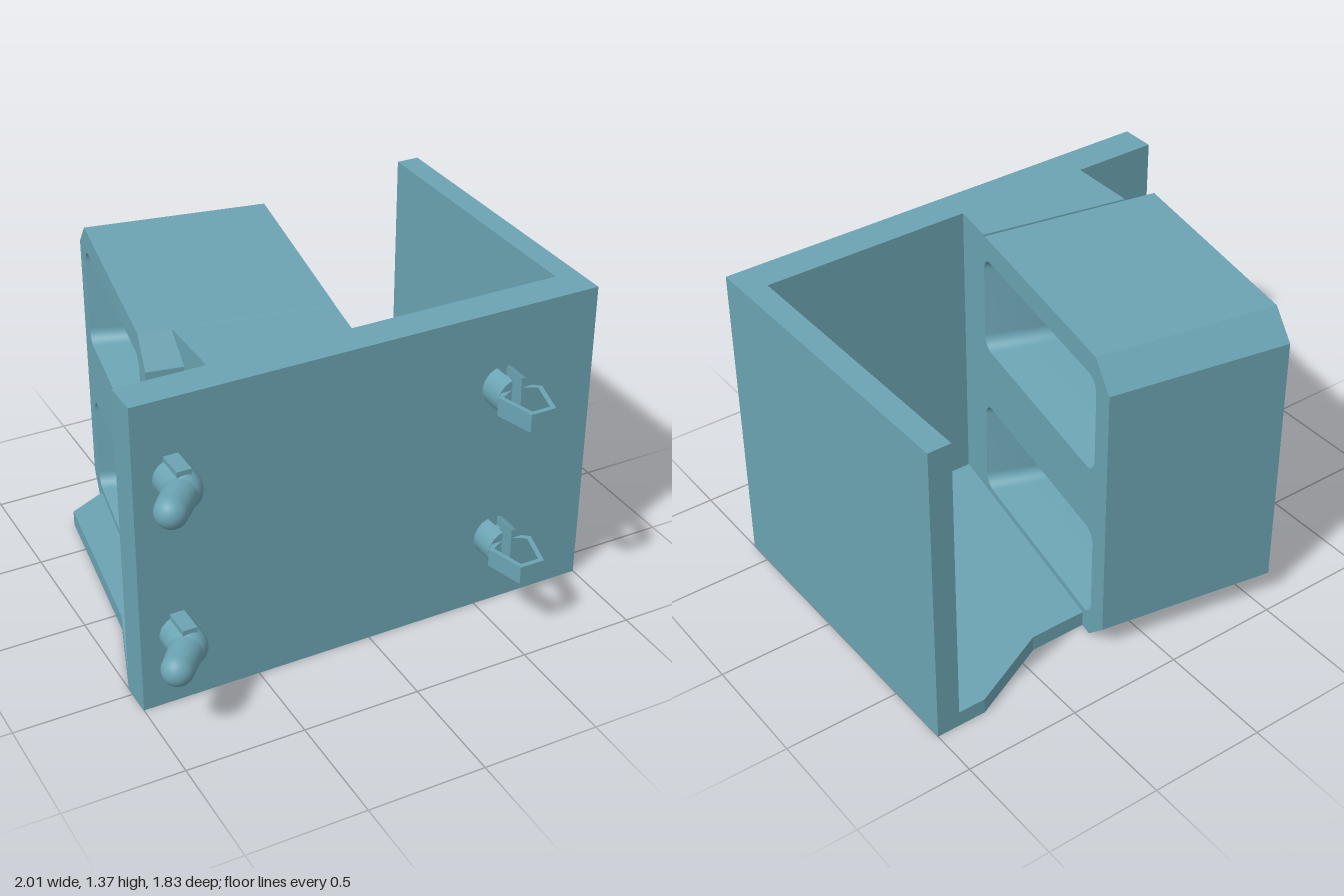
import * as THREE from 'three';

const mat = new THREE.MeshStandardMaterial({ color: 0x6ba3b2 });
const inner = new THREE.MeshStandardMaterial({ color: 0x6ba3b2, side: THREE.DoubleSide });
const H = 1.37;

function add(parent, name, geo, m = mat) {
  const mesh = new THREE.Mesh(geo, m);
  mesh.name = name;
  parent.add(mesh);
  return mesh;
}

// Shape from [x, z] plan points
function planShape(pts) {
  return new THREE.Shape(pts.map(([x, z]) => new THREE.Vector2(x, -z)));
}

// Extrude a plan outline upward from y0 to y1
function plan(pts, y0, y1, hole) {
  const s = planShape(pts);
  if (hole) s.holes.push(planShape(hole));
  return new THREE.ExtrudeGeometry(s, { depth: y1 - y0, bevelEnabled: false })
    .rotateX(-Math.PI / 2).translate(0, y0, 0);
}

// Points of a rounded rectangle in (depth, height)
function roundedRect(v0, v1, y0, y1, r) {
  const pts = [];
  const corners = [[v1 - r, y1 - r], [v0 + r, y1 - r], [v0 + r, y0 + r], [v1 - r, y0 + r]];
  corners.forEach(([cx, cy], k) => {
    for (let i = 0; i <= 8; i++) {
      const a = (k + i / 8) * Math.PI / 2;
      pts.push(new THREE.Vector2(cx + r * Math.cos(a), cy + r * Math.sin(a)));
    }
  });
  return pts;
}

// Through-opening lining that narrows smoothly at its waist
function tunnel(pts, width, cv, cy) {
  const pos = [], idx = [], rings = 24, n = pts.length;
  for (let j = 0; j <= rings; j++) {
    const s = Math.sin(Math.PI * j / rings);
    for (const p of pts) {
      pos.push(width * j / rings, cy + (p.y - cy) * (1 - 0.16 * s), cv + (p.x - cv) * (1 - 0.2 * s));
    }
  }
  for (let j = 0; j < rings; j++) {
    for (let i = 0; i < n; i++) {
      const a = j * n + i, b = j * n + (i + 1) % n;
      idx.push(a, a + n, b, b, a + n, b + n);
    }
  }
  const g = new THREE.BufferGeometry();
  g.setAttribute('position', new THREE.Float32BufferAttribute(pos, 3));
  g.setIndex(idx);
  g.computeVertexNormals();
  return g;
}

// Angled block with chamfered ends and two openings
function makeBlock() {
  const g = new THREE.Group();
  g.name = 'angledBlock';
  const W = 0.78, L = 1.17, c = 0.11;
  const outline = [[0, c], [c, 0], [L - c, 0], [L, c], [L, H - c], [L - c, H], [c, H], [0, H - c]];
  const shape = new THREE.Shape(outline.map(([v, y]) => new THREE.Vector2(-v, y)));
  for (const y0 of [0.1, 0.83]) {
    const pts = roundedRect(0.1, 1.07, y0, y0 + 0.44, 0.06);
    shape.holes.push(new THREE.Path(pts.map(p => new THREE.Vector2(-p.x, p.y))));
    add(g, 'openingLining', tunnel(pts, W, 0.585, y0 + 0.22), inner);
  }
  add(g, 'blockShell', new THREE.ExtrudeGeometry(shape, { depth: W, bevelEnabled: false })
    .rotateY(Math.PI / 2));
  g.position.set(-0.57, 0, -0.92);
  g.rotation.y = -THREE.MathUtils.degToRad(10);
  return g;
}

// Bent peg with a rounded tip and a small upright fin
function makeHook() {
  const g = new THREE.Group();
  g.name = 'hookPeg';
  const r = 0.065;
  const bend = new THREE.Vector3(0, 0, 0.1), tip = new THREE.Vector3(-0.095, 0, 0.21);
  add(g, 'hookBase', new THREE.CylinderGeometry(0.076, 0.076, 0.1, 32).rotateX(Math.PI / 2).translate(0, 0, 0.05));
  add(g, 'hookElbow', new THREE.SphereGeometry(0.076, 32, 20)).position.copy(bend);
  const arm = add(g, 'hookArm', new THREE.CylinderGeometry(r, 0.07, bend.distanceTo(tip), 32));
  arm.position.copy(bend).lerp(tip, 0.5);
  arm.quaternion.setFromUnitVectors(new THREE.Vector3(0, 1, 0), tip.clone().sub(bend).normalize());
  add(g, 'hookTip', new THREE.SphereGeometry(r, 32, 20)).position.copy(tip);
  add(g, 'hookFin', new THREE.BoxGeometry(0.06, 0.185, 0.12).translate(0, 0, 0.06));
  return g;
}

// Split round stem with a springy arrow-shaped loop
function makeClip() {
  const g = new THREE.Group();
  g.name = 'snapClip';
  const a = Math.acos(0.022 / 0.085);
  for (const side of [0, Math.PI]) {
    const half = new THREE.Shape();
    half.absarc(0, 0, 0.085, side - a, side + a, false);
    add(g, 'clipStem', new THREE.ExtrudeGeometry(half, { depth: 0.11, bevelEnabled: false, curveSegments: 20 }));
  }
  const mirror = pts => [...pts, ...pts.slice().reverse().map(([x, z]) => [-x, z])];
  const outer = mirror([[0.06, 0], [0.06, 0.1], [0.1, 0.135], [0.055, 0.3]]);
  const hole = mirror([[0.022, 0.03], [0.022, 0.11], [0.078, 0.14], [0.04, 0.28]]);
  add(g, 'clipLoop', plan(outer, -0.04, 0.04, hole));
  return g;
}

export function createModel() {
  const model = new THREE.Group();
  model.name = 'wallHolder';

  // Front plate, side wall and floor
  add(model, 'frontPlate', new THREE.BoxGeometry(2, H, 0.15)).position.set(0, H / 2, 0.535);
  add(model, 'sideWall', new THREE.BoxGeometry(0.1, H, 1.25)).position.set(0.95, H / 2, -0.165);
  add(model, 'floor', plan([[-1, 0.46], [-0.875, 0.1], [-0.765, -0.7], [-0.59, -0.785],
    [0.168, -0.62], [0.42, -0.62], [0.78, -0.79], [0.9, -0.79], [0.9, 0.46]], 0, 0.07));

  // Block and the web that joins it to the front plate
  model.add(makeBlock());
  add(model, 'joiningWeb', plan([[-0.625, 0.157], [0.011, 0.272], [-0.02, 0.46], [-0.625, 0.46]], 0, H));

  // Two rows of mounting pegs
  for (const y of [0.33, 1.04]) {
    const hook = makeHook(), clip = makeClip();
    hook.position.set(-0.845, y, 0.61);
    clip.position.set(0.57, y, 0.61);
    model.add(hook, clip);
  }
  return model;
}
